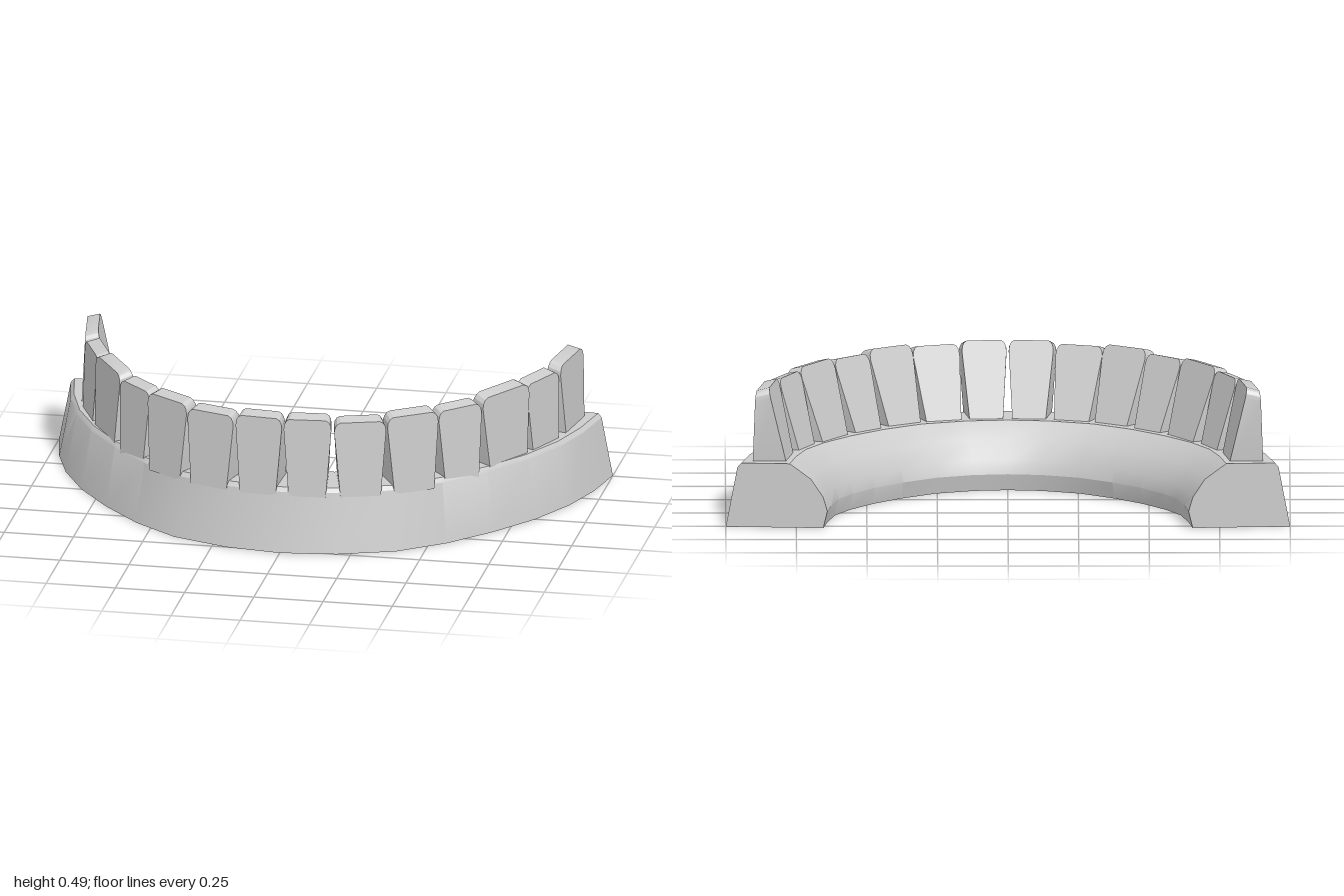
import * as THREE from 'three';
import { toCreasedNormals } from 'three/addons/utils/BufferGeometryUtils.js';

const material = new THREE.MeshStandardMaterial({ color: 0xcccccc, side: THREE.DoubleSide });

// Half arch, from the front centre to the rear: outer x, z and inner x, z
const ARCH = [
  [0, 0.525, 0, 0.165], [0.2, 0.5, 0.12, 0.15], [0.4, 0.43, 0.25, 0.1],
  [0.56, 0.31, 0.37, 0.01], [0.7, 0.16, 0.47, -0.09], [0.82, 0, 0.55, -0.2],
  [0.91, -0.17, 0.6, -0.3], [0.965, -0.33, 0.625, -0.42], [1, -0.505, 0.64, -0.535],
];

// Gum cross-section: fraction of the way inward, height
const SECTION = [
  [0, 0], [0.115, 0.215], [0.15, 0.23], [0.63, 0.23],
  [0.84, 0.175], [0.96, 0.11], [1, 0.06], [0.96, 0],
];

function gumGeometry() {
  const left = ARCH.slice(1).reverse().map(([a, b, c, d]) => [-a, b, -c, d]);
  const stations = [...left, ...ARCH];
  const n = SECTION.length;
  const positions = [];
  const index = [];
  for (const [ox, oz, ix, iz] of stations) {
    for (const [f, y] of SECTION) {
      positions.push(THREE.MathUtils.lerp(ox, ix, f), y, THREE.MathUtils.lerp(oz, iz, f));
    }
  }
  for (let i = 0; i < stations.length - 1; i++) {
    for (let j = 0; j < n; j++) {
      const k = (j + 1) % n;
      const a = i * n + j, b = a + n, c = (i + 1) * n + k, d = i * n + k;
      index.push(a, b, c, a, c, d);
    }
  }
  // Flat rear ends
  const last = (stations.length - 1) * n;
  for (let k = 1; k < n - 1; k++) {
    index.push(0, k, k + 1, last, last + k + 1, last + k);
  }
  const geometry = new THREE.BufferGeometry();
  geometry.setAttribute('position', new THREE.Float32BufferAttribute(positions, 3));
  geometry.setIndex(index);
  return toCreasedNormals(geometry, 0.5);
}

// Wedge-shaped tooth: wide rounded top edge, thick narrow root, origin at the outer face
function toothGeometry(width, height, depth) {
  const s = new THREE.Shape();
  s.moveTo(-0.39, 0);
  s.lineTo(0.39, 0);
  s.lineTo(0.5, 0.87);
  s.quadraticCurveTo(0.5, 0.98, 0.38, 1);
  s.lineTo(-0.38, 1);
  s.quadraticCurveTo(-0.5, 0.98, -0.5, 0.87);
  s.closePath();
  const geometry = new THREE.ExtrudeGeometry(s, { depth: 1, bevelEnabled: false, curveSegments: 3 });
  const p = geometry.attributes.position;
  for (let i = 0; i < p.count; i++) {
    const x = p.getX(i), t = p.getY(i);
    const outer = p.getZ(i) > 0.5;
    const z = outer ? 0.015 * (1 - t) : THREE.MathUtils.lerp(-depth, -0.045, t);
    const narrow = outer ? 1 : 0.86 + 0.08 * t;
    p.setXYZ(i, x * width * narrow, t * height * (outer ? 0.96 : 1), z);
  }
  geometry.computeVertexNormals();
  return toCreasedNormals(geometry, 0.4);
}

// Teeth of one side: name, x, z, outward angle in degrees, width, top height, root depth
const TEETH = [
  ['centralIncisor', 0.088, 0.462, 5, 0.17, 0.495, 0.155],
  ['lateralIncisor', 0.27, 0.422, 18, 0.185, 0.485, 0.155],
  ['canine', 0.443, 0.335, 34, 0.195, 0.495, 0.15],
  ['firstPremolar', 0.587, 0.2, 44, 0.18, 0.485, 0.145],
  ['secondPremolar', 0.718, 0.025, 58, 0.24, 0.495, 0.135],
  ['firstMolar', 0.815, -0.16, 66, 0.195, 0.485, 0.12],
  ['secondMolar', 0.876, -0.378, 81, 0.235, 0.495, 0.11],
];

export function createModel() {
  const model = new THREE.Group();
  model.name = 'lowerDenture';

  const gum = new THREE.Mesh(gumGeometry(), material);
  gum.name = 'gumArch';
  model.add(gum);

  const root = 0.2;
  for (const [name, x, z, angle, width, top, depth] of TEETH) {
    const geometry = toothGeometry(width, top - root, depth);
    for (const side of [1, -1]) {
      const tooth = new THREE.Mesh(geometry, material);
      tooth.name = (side > 0 ? 'left ' : 'right ') + name;
      tooth.position.set(side * x, root, z);
      tooth.rotation.y = side * THREE.MathUtils.degToRad(angle);
      model.add(tooth);
    }
  }
  return model;
}
